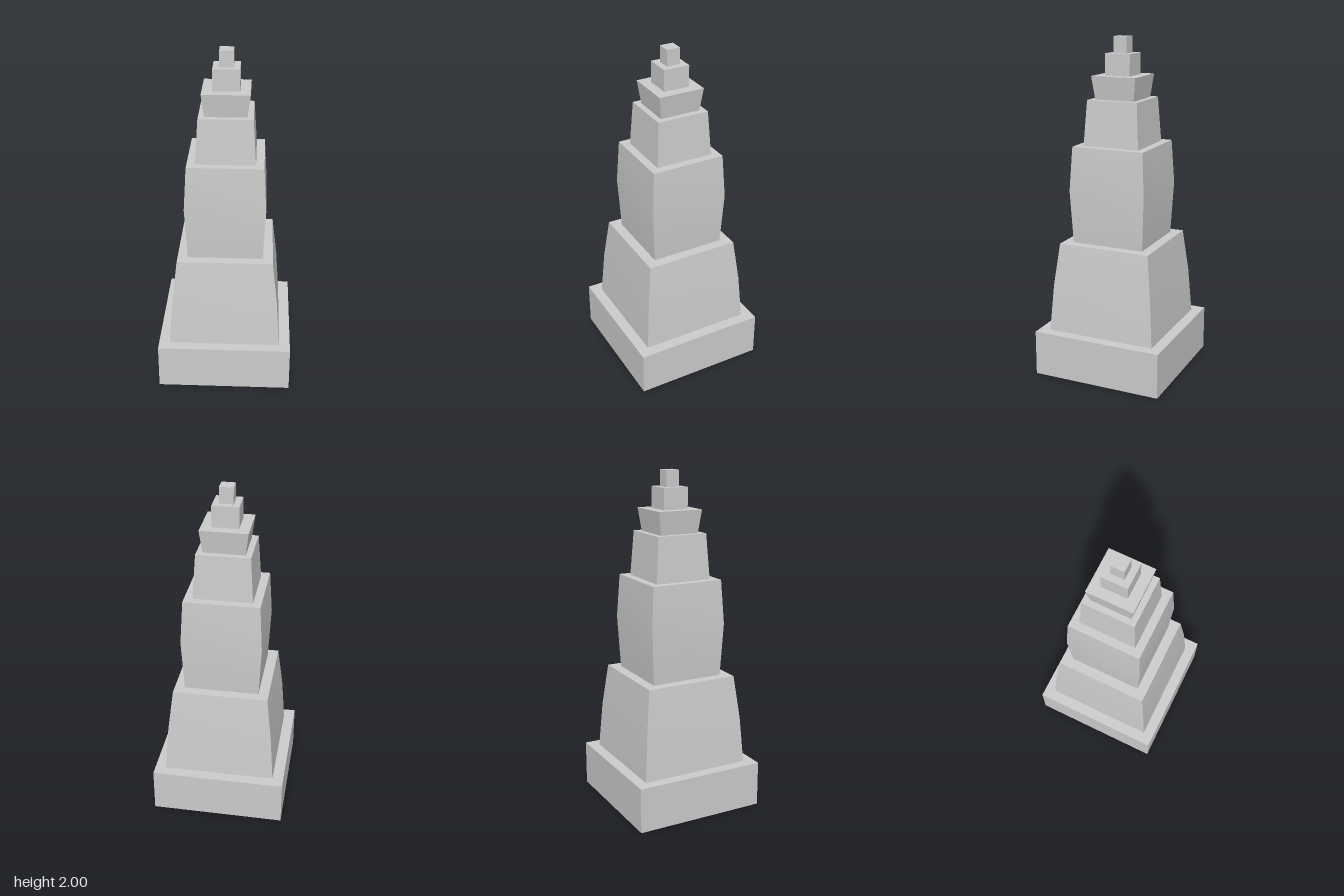
import * as THREE from 'three';
import { toCreasedNormals } from 'three/addons/utils/BufferGeometryUtils.js';

// Each tier is a square hollow shell: [half width, height] from bottom to top.
const TIERS = [
  ['base', [[0.395, 0], [0.395, 0.27]]],
  ['lowerTier', [[0.33, 0.27], [0.31, 0.55], [0.28, 0.805]]],
  ['middleTier', [[0.22, 0.805], [0.235, 1.12], [0.22, 1.38]]],
  ['upperTier', [[0.172, 1.38], [0.155, 1.645]]],
  ['flaredCollar', [[0.12, 1.645], [0.137, 1.78]]],
  ['topBlock', [[0.077, 1.78], [0.077, 1.905]]],
  ['finial', [[0.04, 1.905], [0.04, 2]]],
];

// Four-sided lathe turned so its flat sides face x and z
function squareLathe(profile) {
  const points = profile.map(([half, y]) => new THREE.Vector2(half * Math.SQRT2, y));
  return toCreasedNormals(new THREE.LatheGeometry(points, 4, Math.PI / 4), 0.5);
}

export function createModel() {
  const group = new THREE.Group();
  group.name = 'steppedTower';
  const material = new THREE.MeshStandardMaterial({ color: 0xcccccc, side: THREE.DoubleSide });

  TIERS.forEach(([name, profile], i) => {
    // The ledge runs in to the foot of the next tier; the last tier is capped
    const ledgeEnd = i + 1 < TIERS.length ? TIERS[i + 1][1][0] : [0, 2];
    const mesh = new THREE.Mesh(squareLathe([...profile, ledgeEnd]), material);
    mesh.name = name;
    group.add(mesh);
  });
  return group;
}
